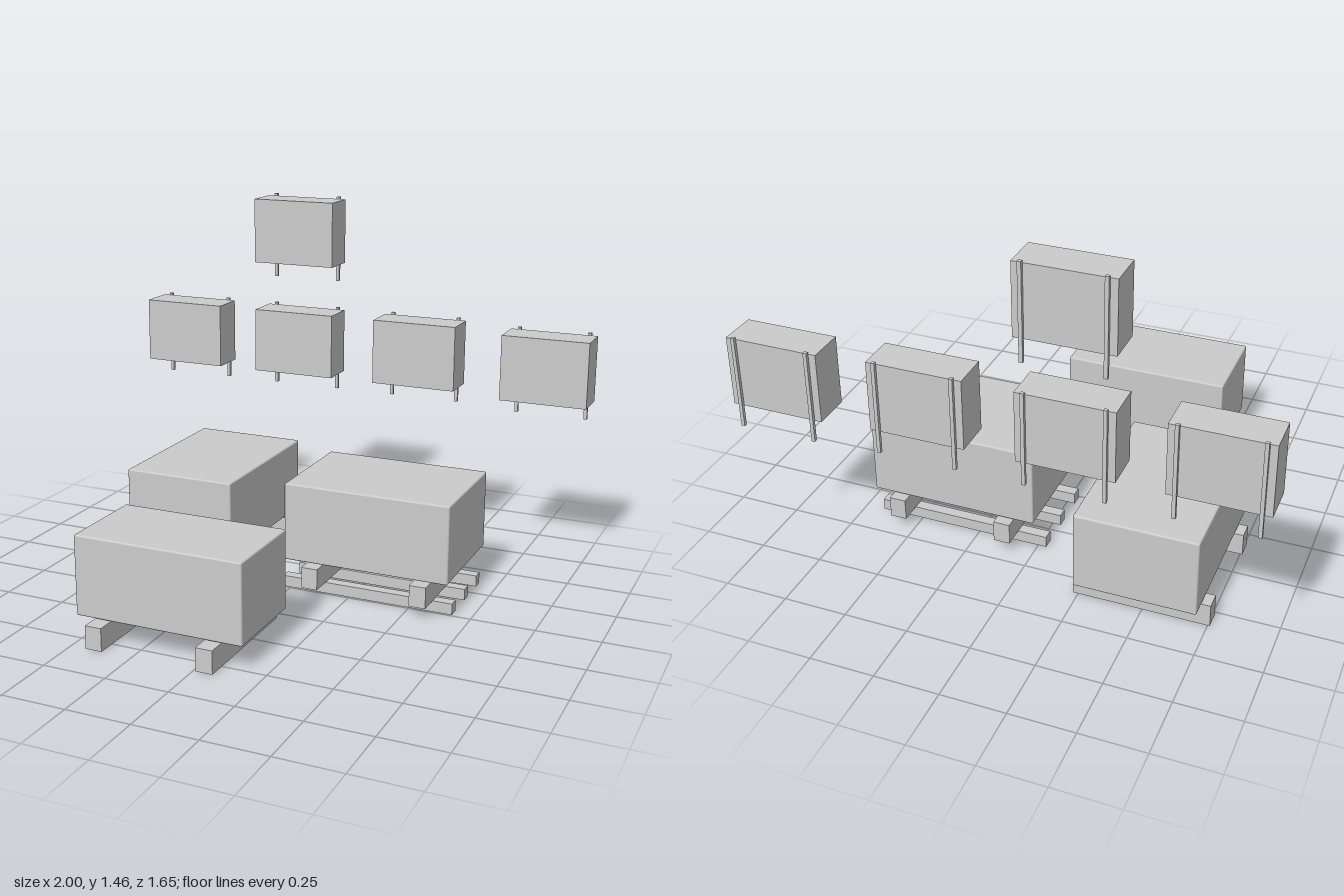
import * as THREE from 'three';
import { RoundedBoxGeometry } from 'three/addons/geometries/RoundedBoxGeometry.js';

const material = new THREE.MeshStandardMaterial({ color: 0xcccccc });

// Adds a box given by its extents [min, max] on each axis; bevel softens the edges.
function addBox(parent, name, [x0, x1], [y0, y1], [z0, z1], bevel = 0) {
  const size = [x1 - x0, y1 - y0, z1 - z0];
  const geometry = bevel
    ? new RoundedBoxGeometry(...size, 2, bevel)
    : new THREE.BoxGeometry(...size);
  const mesh = new THREE.Mesh(geometry, material);
  mesh.name = name;
  mesh.position.set((x0 + x1) / 2, (y0 + y1) / 2, (z0 + z1) / 2);
  parent.add(mesh);
}

function addGroup(parent, name) {
  const group = new THREE.Group();
  group.name = name;
  parent.add(group);
  return group;
}

export function createModel() {
  const model = new THREE.Group();
  model.name = 'crateStorage';

  // Front crate on two skids running front to back
  const front = addGroup(model, 'frontCrate');
  addBox(front, 'crate', [-0.51, 0.163], [0.095, 0.407], [0.395, 0.765], 0.007);
  for (const x of [-0.405, 0.043])
    addBox(front, 'skid', [x - 0.033, x + 0.033], [0, 0.09], [0.295, 0.823]);

  // Rear crate on two skids running side to side
  const rear = addGroup(model, 'rearCrate');
  addBox(rear, 'crate', [-0.725, -0.255], [0.095, 0.407], [-0.655, 0.018], 0.007);
  for (const z of [-0.548, -0.1])
    addBox(rear, 'skid', [-0.758, -0.23], [0, 0.09], [z - 0.033, z + 0.033]);

  // Left crate on skids and three lower runners
  const left = addGroup(model, 'leftCrate');
  addBox(left, 'crate', [-0.003, 0.67], [0.14, 0.454], [-0.42, 0.05], 0.007);
  for (const x of [0.117, 0.562])
    addBox(left, 'skid', [x - 0.033, x + 0.033], [0.045, 0.13], [-0.448, 0.08]);
  for (const z of [-0.34, -0.187, -0.03])
    addBox(left, 'runner', [-0.033, 0.673], [0, 0.045], [z - 0.022, z + 0.022]);

  // Hanging cabinets: [centre x, bottom y], each with two slim rails at the back
  const cabinets = [[-0.82, 0.7], [-0.287, 0.7], [-0.287, 1.18], [0.263, 0.7], [0.82, 0.685]];
  for (const [x, y] of cabinets) {
    const cabinet = addGroup(model, 'cabinet');
    addBox(cabinet, 'cabinetBox', [x - 0.18, x + 0.18], [y, y + 0.272], [-0.81, -0.664]);
    for (const side of [-1, 1]) {
      const rx = x + side * 0.146;
      addBox(cabinet, 'rail', [rx - 0.007, rx + 0.007], [y - 0.082, y + 0.281], [-0.823, -0.81]);
    }
  }

  return model;
}
